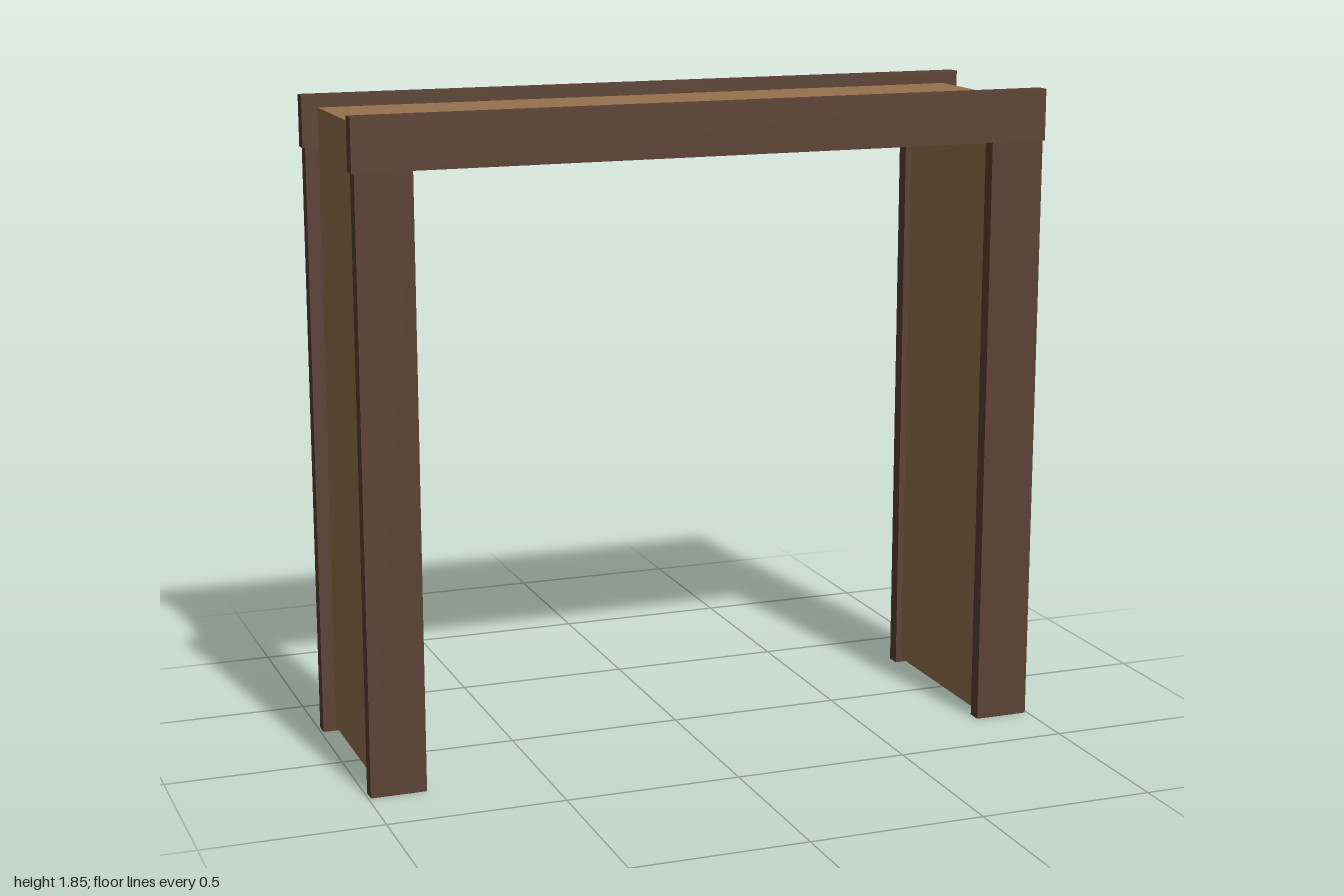
import * as THREE from 'three';

export function createModel() {
  const model = new THREE.Group();
  model.name = 'doorFrame';

  const trimWood = new THREE.MeshStandardMaterial({ color: 0x5c4033 });
  trimWood.name = 'darkTrimWood';
  const liningWood = new THREE.MeshStandardMaterial({ color: 0x96734c });
  liningWood.name = 'lightLiningWood';

  // Box given by its minimum and maximum corners
  function board(name, material, min, max) {
    const size = max.map((v, i) => v - min[i]);
    const mesh = new THREE.Mesh(new THREE.BoxGeometry(...size), material);
    mesh.position.set(...max.map((v, i) => (v + min[i]) / 2));
    mesh.name = name;
    model.add(mesh);
  }

  // Lining: two jambs and the head, set back slightly from the trim
  const depth = 0.26;
  board('leftJamb', liningWood, [0.855, 0.012, -depth], [0.955, 1.72, depth]);
  board('rightJamb', liningWood, [-0.955, 0.012, -depth], [-0.855, 1.72, depth]);
  board('headJamb', liningWood, [-0.955, 1.72, -depth], [0.955, 1.81, depth]);

  // Trim on the front and back: two legs under a slightly wider head
  for (const [side, z0, z1] of [['front', 0.26, 0.302], ['back', -0.302, -0.26]]) {
    board(side + 'LeftCasing', trimWood, [0.836, 0, z0], [0.993, 1.7, z1]);
    board(side + 'RightCasing', trimWood, [-0.993, 0, z0], [-0.836, 1.7, z1]);
    board(side + 'HeadCasing', trimWood, [-1, 1.7, z0], [1, 1.845, z1]);
  }

  return model;
}
